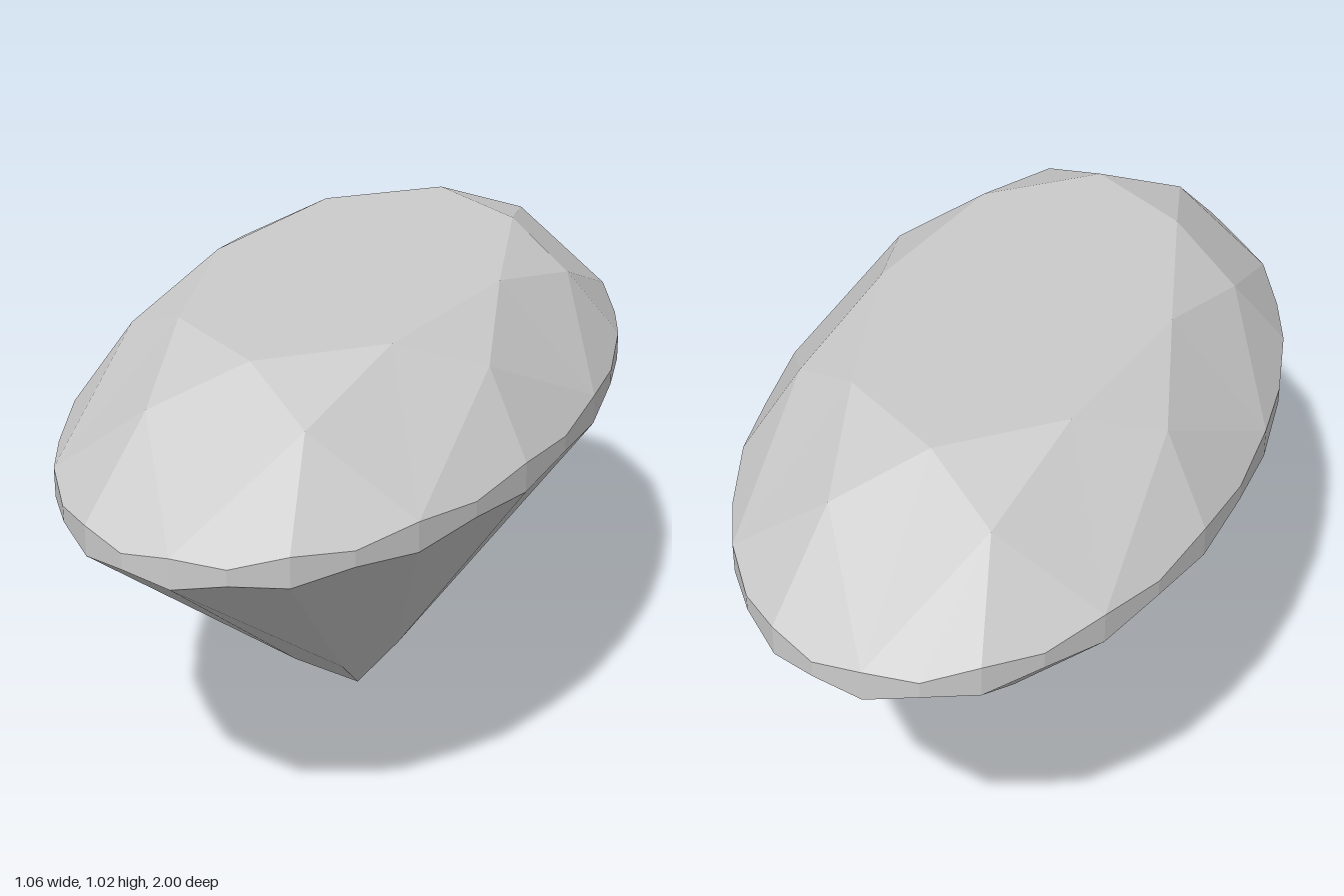
import * as THREE from 'three';

const SIDES = 32;
const WIDTH = 0.53; // oval ratio of x to z

// Point on an oval ring, counted from the front towards the model's left
function ringPoint(i, radius, y) {
  const a = (i / SIDES) * Math.PI * 2;
  return [Math.sin(a) * radius * WIDTH, y, Math.cos(a) * radius];
}

// Corner rings, i counts 32 steps round the gem
const table = (i) => ringPoint(i, 0.6, 1.017);
const star = (i) => ringPoint(i, 0.79, 0.946);
const girdleTop = (i) => ringPoint(i, 1, i % 2 ? 0.771 : 0.786);
const girdleBottom = (i) => ringPoint(i, 1, i % 2 ? 0.738 : 0.723);
const lower = (i) => ringPoint(i, 0.27, 0.18);
const culet = [0, 0, 0];
const tableCentre = [0, 1.017, 0];

// Faceted mesh from counter-clockwise polygons, each split into a fan
function facets(name, polygons) {
  const positions = [];
  for (const p of polygons) {
    for (let i = 1; i < p.length - 1; i++) positions.push(...p[0], ...p[i], ...p[i + 1]);
  }
  const geometry = new THREE.BufferGeometry();
  geometry.setAttribute('position', new THREE.Float32BufferAttribute(positions, 3));
  geometry.computeVertexNormals();
  const material = new THREE.MeshStandardMaterial({ color: 0xcccccc, flatShading: true });
  const mesh = new THREE.Mesh(geometry, material);
  mesh.name = name;
  return mesh;
}

export function createModel() {
  const top = [], crown = [], girdle = [], pavilion = [];

  // Eight-fold facets, m is the middle of a main facet
  for (let m = 0; m < SIDES; m += 4) {
    top.push([tableCentre, table(m), table(m + 4)]);
    // star facet and kite
    crown.push([star(m + 2), table(m + 4), table(m)]);
    crown.push([girdleTop(m), star(m + 2), table(m), star(m - 2)]);
    // pavilion main
    pavilion.push([culet, lower(m + 2), girdleBottom(m), lower(m - 2)]);
    // half facets on both sides of the star corner
    for (const h of [m, m + 2]) {
      crown.push([star(m + 2), girdleTop(h), girdleTop(h + 1), girdleTop(h + 2)]);
      pavilion.push([lower(m + 2), girdleBottom(h + 2), girdleBottom(h + 1), girdleBottom(h)]);
    }
  }

  // Scalloped belt
  for (let i = 0; i < SIDES; i++) {
    girdle.push([girdleBottom(i), girdleBottom(i + 1), girdleTop(i + 1), girdleTop(i)]);
  }

  const gem = new THREE.Group();
  gem.name = 'gem';
  gem.add(
    facets('table', top),
    facets('crown', crown),
    facets('girdle', girdle),
    facets('pavilion', pavilion)
  );
  // Slight forward tilt on the point
  gem.rotation.x = 0.011;
  gem.position.z = -0.008;

  const model = new THREE.Group();
  model.name = 'ovalGem';
  model.add(gem);
  return model;
}
